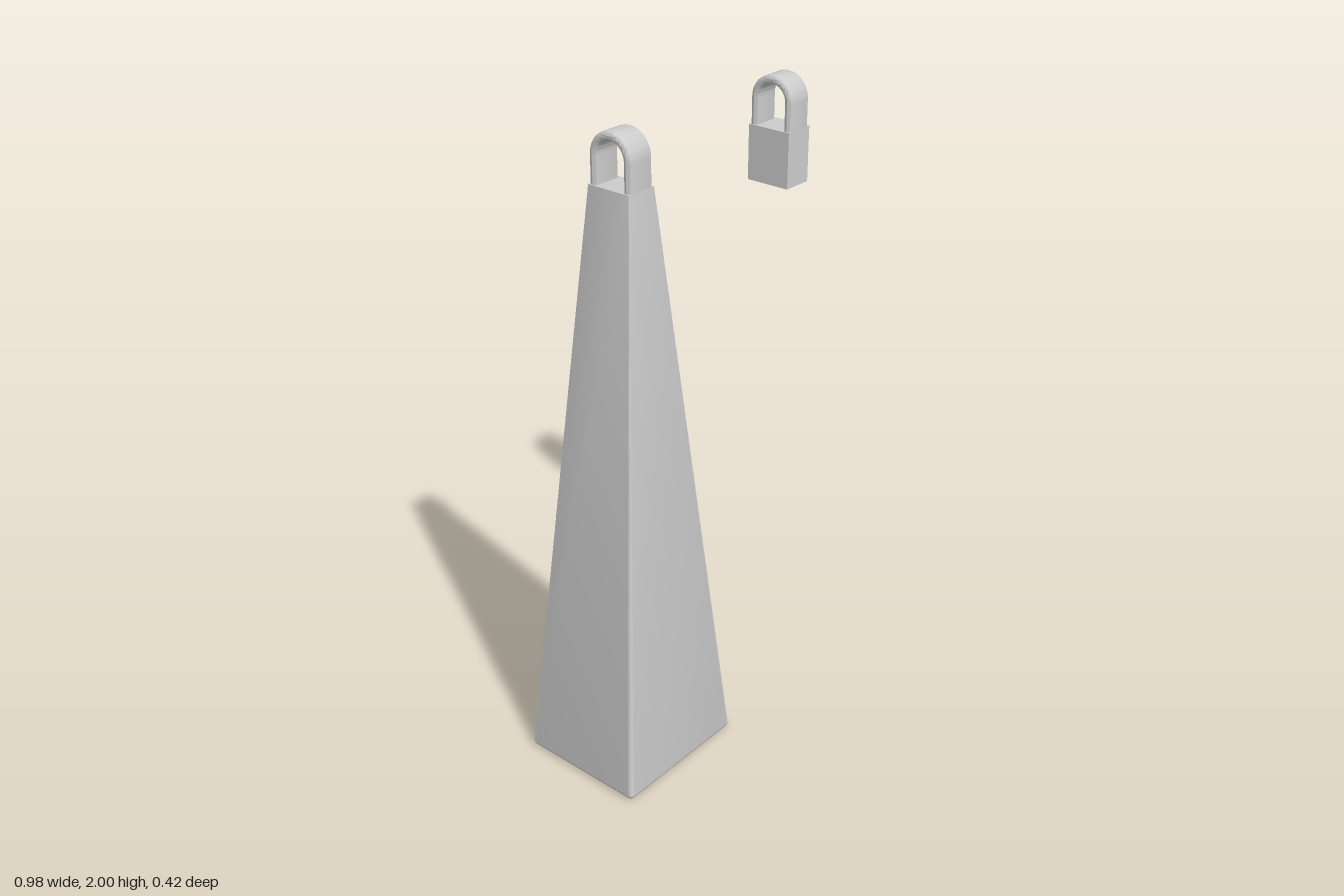
import * as THREE from 'three';
import { toCreasedNormals } from 'three/addons/utils/BufferGeometryUtils.js';

const material = new THREE.MeshStandardMaterial({ color: 0xcccccc });
const TOP = 1.845;

// Skin a list of equal-length rings and close both ends
function loft(rings, crease) {
  const n = rings[0].length, pts = rings.flat(), index = [];
  rings.slice(1).forEach((_, i) => {
    for (let j = 0; j < n; j++) {
      const a = i * n + j, b = i * n + (j + 1) % n;
      index.push(a, b, b + n, a, b + n, a + n);
    }
  });
  const last = (rings.length - 1) * n;
  for (let j = 1; j < n - 1; j++) {
    index.push(0, j + 1, j, last, last + j, last + j + 1);
  }
  const g = new THREE.BufferGeometry().setFromPoints(pts);
  g.setIndex(index);
  return toCreasedNormals(g, crease);
}

// Rounded rectangle as [x, z] pairs
function roundedRect(hx, hz, r, steps) {
  const out = [];
  for (let c = 0; c < 4; c++) {
    const sx = c === 0 || c === 3 ? 1 : -1, sz = c < 2 ? -1 : 1;
    for (let k = 0; k <= steps; k++) {
      const t = (c + k / steps) * Math.PI / 2;
      out.push([sx * (hx - r) + r * Math.cos(t), sz * (hz - r) - r * Math.sin(t)]);
    }
  }
  return out;
}

function mesh(name, geometry) {
  const m = new THREE.Mesh(geometry, material);
  m.name = name;
  return m;
}

// Tall tapered weight with softened edges
function taperedBody() {
  const levels = [
    [0.005, 0.227, 0.2, 0.008], [0.008, 0.234, 0.207, 0.012],
    [0.016, 0.237, 0.21, 0.013], [TOP, 0.05, 0.073, 0.002],
  ];
  levels[0][0] = 0;
  const rings = levels.map(([y, hx, hz, r]) =>
    roundedRect(hx, hz, r, 3).map(([x, z]) => new THREE.Vector3(x, y, z)));
  return mesh('taperedBody', loft(rings, 0.5));
}

// Small block below the second loop
function smallBlock() {
  const g = new THREE.BoxGeometry(0.1, 0.17, 0.146);
  g.translate(0, TOP - 0.085, 0);
  return mesh('smallBlock', g);
}

// Arched strap: two straight legs joined by a half circle
function hangingLoop() {
  const radius = 0.06, centreY = 1.927, arcSteps = 32;
  const section = roundedRect(0.046, 0.013, 0.0125, 6);
  const path = [[radius, TOP - 0.015, 0]];
  for (let i = 0; i <= arcSteps; i++) {
    const t = Math.PI * i / arcSteps;
    path.push([radius * Math.cos(t), centreY + radius * Math.sin(t), t]);
  }
  path.push([-radius, TOP - 0.015, Math.PI]);
  const rings = path.map(([z, y, t]) => section.map(([a, b]) =>
    new THREE.Vector3(a, y + b * Math.sin(t), z + b * Math.cos(t))));
  return mesh('hangingLoop', loft(rings, 0.9));
}

function assembly(name, x, base) {
  const g = new THREE.Group();
  g.name = name;
  g.position.x = x;
  g.add(base, hangingLoop());
  return g;
}

export function createModel() {
  const model = new THREE.Group();
  model.name = 'loopedWeights';
  model.add(
    assembly('tallWeight', -0.253, taperedBody()),
    assembly('smallWeight', 0.437, smallBlock()),
  );
  return model;
}
